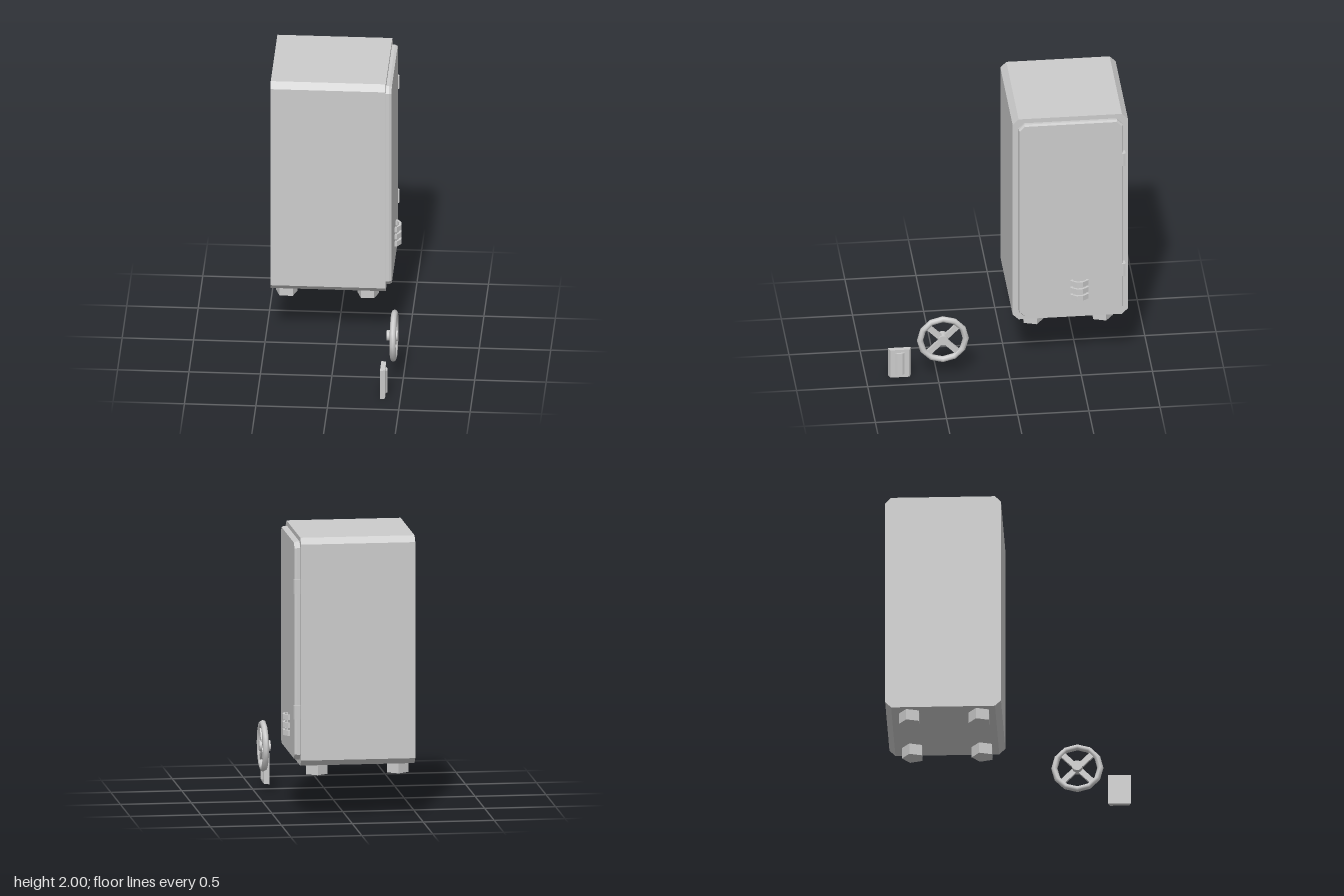
import * as THREE from 'three';

const flat = new THREE.MeshStandardMaterial({ color: 0xcccccc, flatShading: true });
const smooth = new THREE.MeshStandardMaterial({ color: 0xcccccc });

function add(parent, name, geometry, x = 0, y = 0, z = 0, material = flat) {
  const mesh = new THREE.Mesh(geometry, material);
  mesh.name = name;
  mesh.position.set(x, y, z);
  parent.add(mesh);
  return mesh;
}

// Rectangle with cut corners in the zy plane, extruded along +x
function chamferedSlab(width, height, cut, options) {
  const w = width / 2, h = height / 2;
  const shape = new THREE.Shape([
    [-w + cut, -h], [w - cut, -h], [w, -h + cut], [w, h - cut],
    [w - cut, h], [-w + cut, h], [-w, h - cut], [-w, -h + cut],
  ].map(([a, b]) => new THREE.Vector2(a, b)));
  return new THREE.ExtrudeGeometry(shape, options).rotateY(Math.PI / 2);
}

// Outline of [x, z] points, extruded upwards
function upright(points, height) {
  const shape = new THREE.Shape(points.map(([x, z]) => new THREE.Vector2(x, -z)));
  return new THREE.ExtrudeGeometry(shape, { depth: height, bevelEnabled: false }).rotateX(-Math.PI / 2);
}

export function createModel() {
  const model = new THREE.Group();
  model.name = 'safe';

  // Cabinet and bevelled door on the +x side
  add(model, 'cabinet', chamferedSlab(0.81, 1.615, 0.042, { depth: 0.805, bevelEnabled: false }), -0.465, 1.1925, -0.44);
  add(model, 'door', chamferedSlab(0.716, 1.53, 0.036, {
    depth: 0.02, bevelThickness: 0.018, bevelSize: 0.008, bevelSegments: 1,
  }), 0.342, 1.195, -0.44);

  // Hinges, slightly proud of the door
  const hinge = upright([[0.335, -0.80], [0.385, -0.80], [0.39, -0.808], [0.385, -0.824], [0.335, -0.824]], 0.1);
  for (const y of [0.715, 1.605]) add(model, 'hinge', hinge, 0, y, 0);

  // Five-sided feet
  const foot = new THREE.CylinderGeometry(0.079, 0.079, 0.085, 5).rotateY(Math.PI);
  for (const x of [-0.36, 0.21]) {
    for (const z of [-0.186, -0.674]) add(model, 'foot', foot, x, 0.3475, z);
  }

  // Three faceted arches on the door
  const arch = upright([
    [0.375, -0.437], [0.395, -0.437], [0.423, -0.477], [0.423, -0.522], [0.395, -0.562], [0.375, -0.562],
    [0.375, -0.545], [0.392, -0.545], [0.407, -0.517], [0.407, -0.482], [0.392, -0.454], [0.375, -0.454],
  ], 0.038);
  for (const y of [0.556, 0.611, 0.667]) add(model, 'doorArch', arch, 0, y, 0);

  // Detached hand wheel
  const wheel = new THREE.Group();
  wheel.name = 'handWheel';
  wheel.position.set(0.433, 0.312, 0.465);
  model.add(wheel);
  add(wheel, 'rim', new THREE.TorusGeometry(0.161, 0.022, 8, 12).rotateY(Math.PI / 2), 0, 0, 0, smooth);
  add(wheel, 'hub', new THREE.CylinderGeometry(0.038, 0.038, 0.078, 14).rotateZ(Math.PI / 2), -0.012, 0, 0, smooth);
  for (const side of [-1, 1]) {
    const spoke = add(wheel, 'spoke', new THREE.BoxGeometry(0.022, 0.31, 0.04));
    spoke.rotation.x = side * Math.PI / 4;
  }

  // Detached plate with tapered sides and a raised grip
  const plate = new THREE.Group();
  plate.name = 'latchPlate';
  model.add(plate);
  add(plate, 'plate', upright([[0.358, 0.682], [0.358, 0.842], [0.393, 0.83], [0.393, 0.694]], 0.22));
  add(plate, 'grip', upright([[0.385, 0.73], [0.385, 0.797], [0.394, 0.797], [0.407, 0.78], [0.407, 0.747], [0.394, 0.73]], 0.172), 0, 0.025, 0);

  return model;
}
